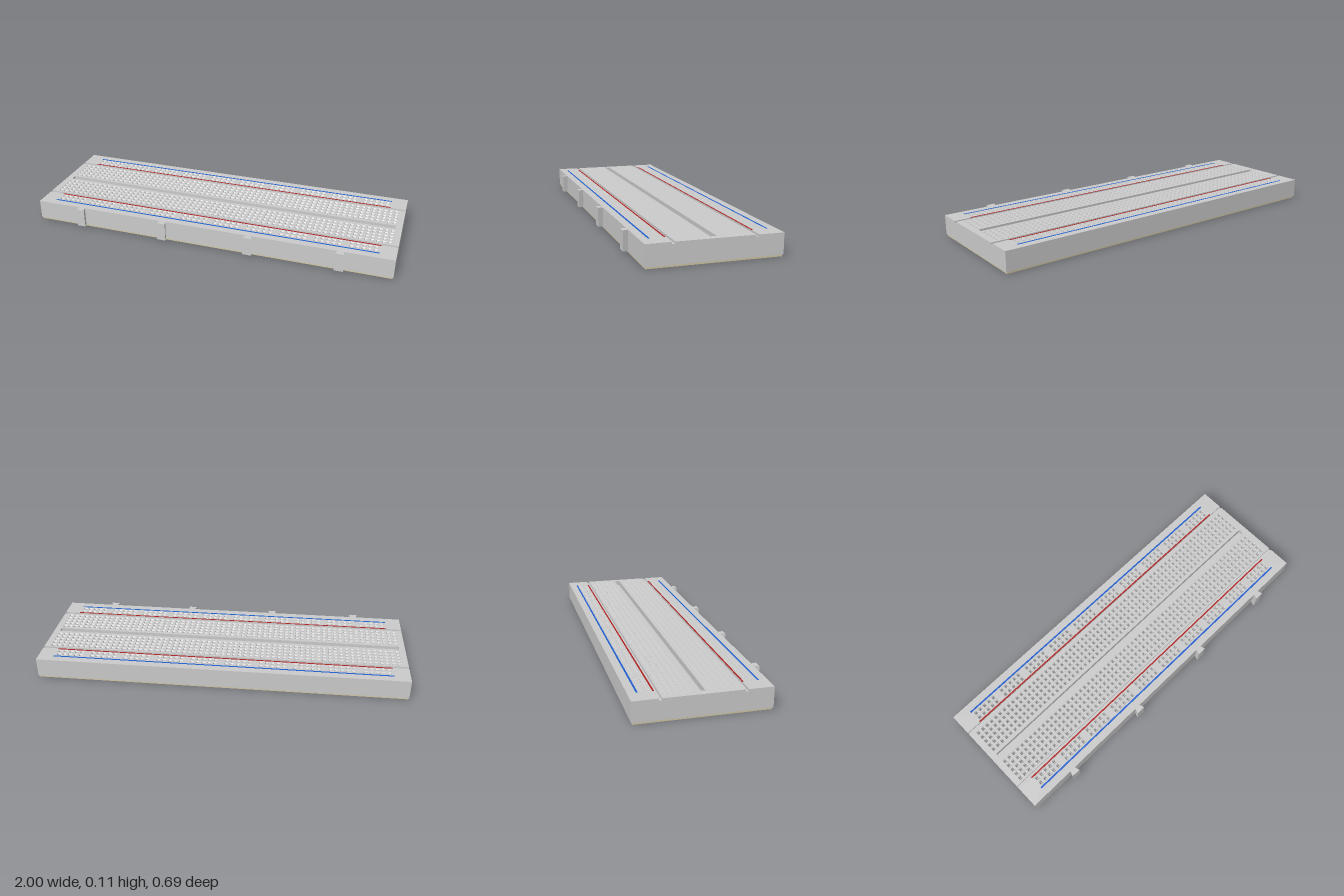
import * as THREE from 'three';
import { mergeGeometries } from 'three/addons/utils/BufferGeometryUtils.js';

const TOP = 0.114, BOTTOM = 0.01, FLOOR = 0.07; // FLOOR: bottom of the contact holes
const PITCH = 0.0308, HALF_DEPTH = 0.3315;
const HOLE = 0.01, SHAFT = 0.0055; // half widths of the hole mouth and shaft

const material = (color) =>
  new THREE.MeshStandardMaterial({ color, flatShading: true, side: THREE.DoubleSide });
const plastic = material(0xcccccc);
const red = material(0xb02020);
const blue = material(0x1f5fd0);
const foam = material(0xd2c8a4);

function add(parent, name, geometry, mat = plastic) {
  const mesh = new THREE.Mesh(geometry, mat);
  mesh.name = name;
  parent.add(mesh);
  return mesh;
}

function block(parent, name, w, y0, y1, z0, z1, mat) {
  const mesh = add(parent, name, new THREE.BoxGeometry(w, y1 - y0, z1 - z0), mat);
  mesh.position.set(0, (y0 + y1) / 2, (z0 + z1) / 2);
  return mesh;
}

// Rectangle outline in plan, where the shape's y is -z
function rectangle(Type, x0, x1, z0, z1) {
  return new Type([[x0, -z1], [x1, -z1], [x1, -z0], [x0, -z0]].map(([x, y]) => new THREE.Vector2(x, y)));
}

function extrudeUp(shape, y0, y1) {
  return new THREE.ExtrudeGeometry(shape, { depth: y1 - y0, bevelEnabled: false })
    .rotateX(-Math.PI / 2).translate(0, y0, 0);
}

// Square funnel that lines one contact hole
const funnel = new THREE.LatheGeometry(
  [[0, FLOOR + 0.001], [SHAFT, FLOOR + 0.001], [SHAFT, TOP - 0.007], [HOLE, TOP]]
    .map(([r, y]) => new THREE.Vector2(r * Math.SQRT2, y)), 4).rotateY(Math.PI / 4);

// Raised strip of the top, pierced by contact holes
function land(parent, name, z0, z1, spots, slot) {
  const shape = rectangle(THREE.Shape, -1, 1, z0, z1);
  for (const [x, z] of spots) {
    shape.holes.push(rectangle(THREE.Path, x - HOLE, x + HOLE, z - HOLE, z + HOLE));
  }
  if (slot) shape.holes.push(slot);
  add(parent, name, extrudeUp(shape, FLOOR, TOP));
  add(parent, name + 'Holes', mergeGeometries(spots.map(([x, z]) => funnel.clone().translate(x, 0, z))));
}

export function createModel() {
  const model = new THREE.Group();
  model.name = 'solderlessBoard';
  const board = new THREE.Group();
  board.name = 'board';
  board.position.z = -0.0135;
  model.add(board);

  // Adhesive foam pad and solid lower body
  block(board, 'foamPad', 1.99, 0, BOTTOM, -0.3265, 0.3265, foam);
  block(board, 'lowerBody', 2, BOTTOM, FLOOR, -HALF_DEPTH, HALF_DEPTH);

  // Main field: two blocks of five rows by 63 columns, split by a centre channel
  const field = [];
  for (const side of [-1, 1]) {
    for (let row = 0; row < 5; row++) {
      for (let col = -31; col <= 31; col++) field.push([col * PITCH, side * (1.5 + row) * PITCH]);
    }
  }
  land(board, 'mainField', -0.1925, 0.1925, field, rectangle(THREE.Path, -0.965, 0.965, -0.015, 0.015));
  block(board, 'channelFloor', 1.93, FLOOR, 0.085, -0.015, 0.015);

  // Power rails: ten groups of five in two rows, with their stripes and grooves
  for (const side of [-1, 1]) {
    const prefix = side < 0 ? 'back' : 'front';
    const span = (a, b) => [side * a, side * b].sort((p, q) => p - q);
    const rail = [];
    for (const z of [0.2325, 0.2635]) {
      for (let col = 0; col < 59; col++) {
        if (col % 6 !== 5) rail.push([(col - 29) * PITCH, side * z]);
      }
    }
    land(board, prefix + 'Rail', ...span(0.2075, HALF_DEPTH), rail);
    block(board, prefix + 'GrooveFloor', 2, FLOOR, 0.104, ...span(0.1925, 0.2075));
    block(board, prefix + 'RedStripe', 1.83, TOP - 0.001, TOP + 0.0006, ...span(0.2078, 0.2158), red);
    block(board, prefix + 'BlueStripe', 1.83, TOP - 0.001, TOP + 0.0006, ...span(0.282, 0.291), blue);
  }

  // Dovetail tabs along the front edge
  const tab = new THREE.Shape([[-0.016, 0], [-0.024, -0.027], [0.024, -0.027], [0.016, 0]]
    .map(([x, y]) => new THREE.Vector2(x, y)));
  const tabGeometry = extrudeUp(tab, BOTTOM + 0.002, TOP);
  for (const x of [-0.73, -0.244, 0.241, 0.726]) {
    add(board, 'dovetailTab', tabGeometry).position.set(x, 0, HALF_DEPTH);
  }
  return model;
}
